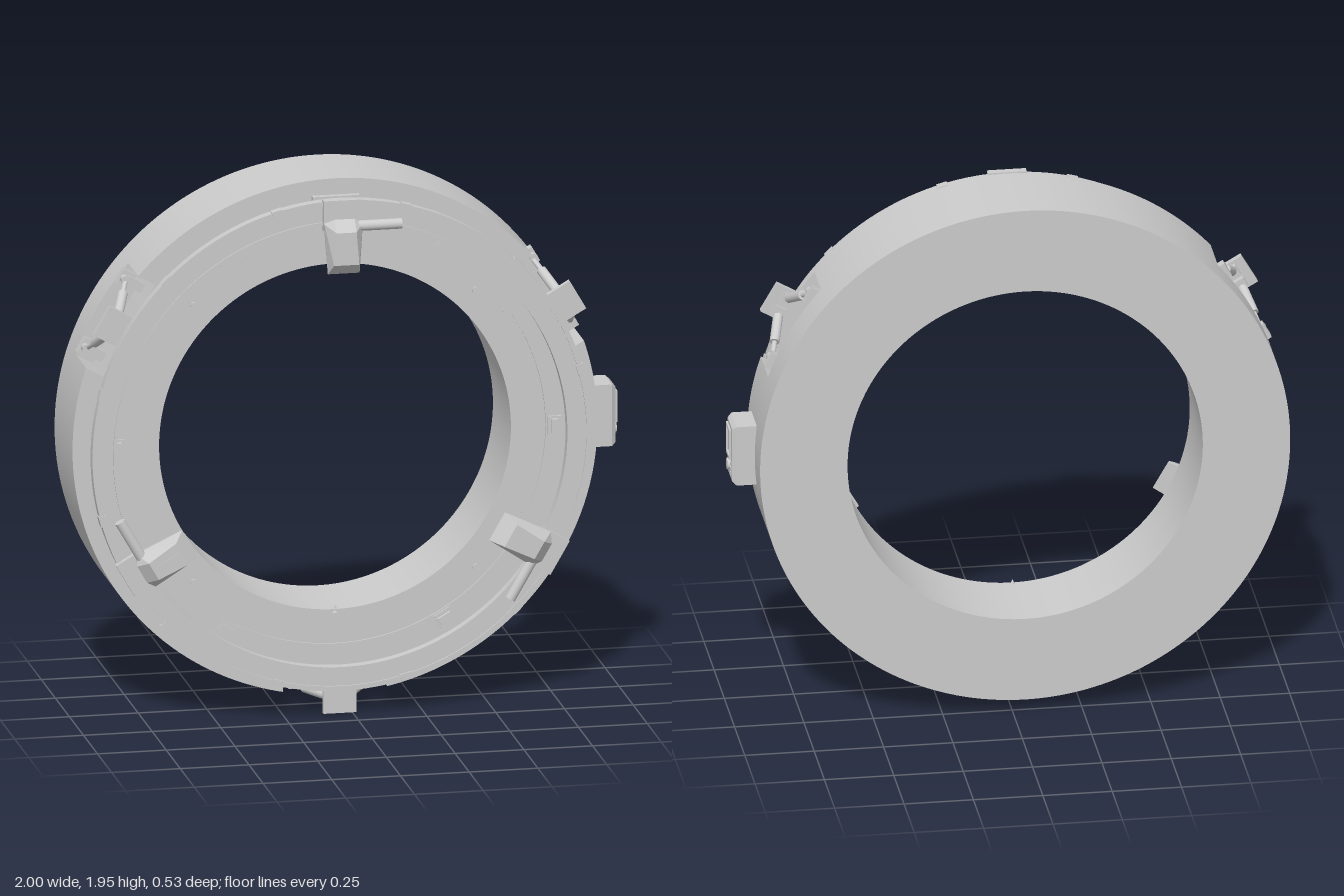
import * as THREE from 'three';
import { toCreasedNormals } from 'three/addons/utils/BufferGeometryUtils.js';
import { ConvexGeometry } from 'three/addons/geometries/ConvexGeometry.js';

const grey = new THREE.MeshStandardMaterial({ color: 0xcccccc });
const rad = THREE.MathUtils.degToRad;
const V = (x, y, z) => new THREE.Vector3(x, y, z);

function add(parent, name, geometry, x = 0, y = 0, z = 0) {
  const mesh = new THREE.Mesh(geometry, grey);
  mesh.name = name;
  mesh.position.set(x, y, z);
  parent.add(mesh);
  return mesh;
}

// Box given by its lower and upper limits
function block(parent, name, x0, x1, y0, y1, z0, z1) {
  return add(parent, name, new THREE.BoxGeometry(x1 - x0, y1 - y0, z1 - z0),
    (x0 + x1) / 2, (y0 + y1) / 2, (z0 + z1) / 2);
}

// Cylinder between two points
function rod(parent, name, a, b, r, sides = 20) {
  const dir = b.clone().sub(a);
  const mesh = add(parent, name, new THREE.CylinderGeometry(r, r, dir.length(), sides));
  mesh.position.copy(a).lerp(b, 0.5);
  mesh.quaternion.setFromUnitVectors(V(0, 1, 0), dir.normalize());
  return mesh;
}

// Flat outline with a round hole, extruded from z0 to z1
function plate(parent, name, shape, hole, z0, z1) {
  shape.holes.push(new THREE.Path().absarc(0, 0, hole, 0, Math.PI * 2, true));
  const g = new THREE.ExtrudeGeometry(shape, { depth: z1 - z0, bevelEnabled: false, curveSegments: 96 });
  return add(parent, name, toCreasedNormals(g, 0.5), 0, 0, z0);
}
const disc = (r) => new THREE.Shape().absarc(0, 0, r, 0, Math.PI * 2, false);

// Round outline with three flat-floored notches
function notchedDisc(r, floor, half) {
  const shape = new THREE.Shape();
  const open = Math.asin(half / r);
  for (const deg of [30, 150, 270]) {
    const a = rad(deg), c = Math.cos(a), s = Math.sin(a);
    shape.absarc(0, 0, r, a - rad(120) + open, a - open, false);
    shape.lineTo(floor * c + half * s, floor * s - half * c);
    shape.lineTo(floor * c - half * s, floor * s + half * c);
  }
  shape.closePath();
  return shape;
}

// Group whose +y points outward at the given angle
function station(parent, name, deg) {
  const g = new THREE.Group();
  g.name = name;
  g.rotation.z = rad(deg - 90);
  parent.add(g);
  return g;
}

export function createModel() {
  const model = new THREE.Group();
  model.name = 'ringMount';
  const ring = new THREE.Group();
  ring.name = 'ringAssembly';
  ring.position.set(-0.045, 1, 0);
  model.add(ring);

  // Main body, with notches cut in its front outer corner
  plate(ring, 'bodyBack', disc(0.955), 0.64, -0.265, -0.125);
  plate(ring, 'bodyFront', notchedDisc(0.955, 0.865, 0.19), 0.64, -0.125, 0.055);
  plate(ring, 'raisedBand', disc(0.82), 0.765, 0.054, 0.062);

  // Floating front ring with rims
  plate(ring, 'frontRing', disc(0.908), 0.82, 0.145, 0.175);
  plate(ring, 'frontOuterRim', disc(0.908), 0.89, 0.174, 0.181);
  plate(ring, 'frontInnerRim', disc(0.832), 0.82, 0.174, 0.181);

  // Support stations: bracket, two struts and their pads
  for (const deg of [30, 150, 270]) {
    const g = station(ring, 'support', deg);
    block(g, 'bracket', -0.06, 0.06, 0.9, 1.0, 0.122, 0.145);
    block(g, 'bracketTongue', -0.06, 0.06, 0.84, 0.905, 0.128, 0.145);
    for (const s of [-1, 1]) {
      const foot = V(s * 0.14, 0.935, -0.055), top = V(s * 0.028, 0.945, 0.115);
      const at = (t) => foot.clone().lerp(top, t);
      rod(g, 'strutRod', foot, top, 0.009);
      rod(g, 'strutBarrel', at(0.34), at(0.9), 0.018);
      block(g, 'strutSocket', s * 0.028 - 0.02, s * 0.028 + 0.02, 0.925, 0.965, 0.1, 0.123);
      const x = s * 0.142;
      block(g, 'padBlock', x - 0.03, x + 0.03, 0.905, 0.955, -0.1, -0.065);
      block(g, 'padPost', x - 0.018, x + 0.018, 0.86, 0.935, -0.125, -0.045);
      rod(g, 'padBolt', V(x, 0.94, -0.066), V(x, 0.94, -0.04), 0.015);
    }
  }

  // Clamp stations on the front ring, with a block on the body behind
  for (const deg of [90, 210, 330]) {
    const g = station(ring, 'clamp', deg);
    block(g, 'bodyBlock', -0.085, 0.085, 0.855, 0.895, 0.05, 0.077);
    block(g, 'clampPlate', -0.07, 0.07, 0.8, 0.912, 0.17, 0.198);
    const corners = [];
    for (const s of [-1, 1]) {
      corners.push(V(s * 0.07, 0.83, 0.195), V(s * 0.056, 0.645, 0.2),
        V(s * 0.07, 0.83, 0.21), V(s * 0.058, 0.645, 0.21),
        V(s * 0.036, 0.85, 0.225), V(s * 0.036, 0.81, 0.265), V(s * 0.046, 0.69, 0.265));
    }
    add(g, 'clampHousing', new ConvexGeometry(corners));
    block(g, 'clampSlot', -0.01, 0.01, 0.7, 0.79, 0.26, 0.267);
    rod(g, 'clampMotor', V(0.04, 0.82, 0.213), V(0.21, 0.82, 0.213), 0.019, 28);
  }

  // Small stops around the raised band
  for (let i = 0; i < 6; i++) {
    const g = station(ring, 'stop', i * 60);
    block(g, 'stopBlock', -0.034, 0.034, 0.77, 0.822, 0.055, 0.07);
    block(g, 'stopLug', -0.026, 0.026, 0.782, 0.808, 0.07, 0.085);
  }

  // Clips on the front ring
  for (let i = 0; i < 12; i++) {
    const g = station(ring, 'clip', i * 30 + 15);
    block(g, 'clipBlock', -0.02, 0.02, 0.886, 0.912, 0.15, 0.183);
  }

  // Studs on the body face, and rows of tiny pins
  for (const deg of [45, 135, 225, 315]) {
    const g = station(ring, 'faceStud', deg);
    rod(g, 'stud', V(0, 0.725, 0.05), V(0, 0.725, 0.063), 0.013);
  }
  for (let i = 0; i < 72; i++) {
    if (i % 6 === 0) continue;
    const g = station(ring, 'facePin', i * 5);
    const r = 0.745 + 0.006 * (i % 3);
    rod(g, 'pin', V(0, r, 0.05), V(0, r, 0.057), 0.004, 6);
  }

  // Pointers at the edge of the opening
  for (const deg of [90, 270]) {
    const g = station(ring, 'pointer', deg);
    const cone = add(g, 'pointerCone', new THREE.ConeGeometry(0.014, 0.03, 12), 0, 0.638, 0.045);
    cone.rotation.x = Math.PI;
  }

  // Control box on the side, with screen frame, keys and knob
  const box = new THREE.Group();
  box.name = 'controlBox';
  model.add(box);
  const hull = [];
  for (const [x, d] of [[0.89, 0], [0.975, 0], [0.99, 0.012]])
    for (const y of [0.89 + d, 1.118 - d])
      for (const z of [-0.135 + d, -0.003 - d]) hull.push(V(x, y, z));
  add(box, 'controlHousing', new ConvexGeometry(hull));
  for (const y of [0.98, 1.085]) block(box, 'screenFrame', 0.985, 0.997, y - 0.006, y + 0.006, -0.1, -0.015);
  for (const z of [-0.095, -0.02]) block(box, 'screenFrame', 0.985, 0.997, 0.98, 1.085, z - 0.005, z + 0.005);
  rod(box, 'knob', V(0.985, 0.945, -0.06), V(1, 0.945, -0.06), 0.021, 28);
  for (const y of [0.925, 0.945, 0.965]) block(box, 'key', 0.985, 0.994, y - 0.006, y + 0.006, -0.108, -0.094);

  return model;
}
